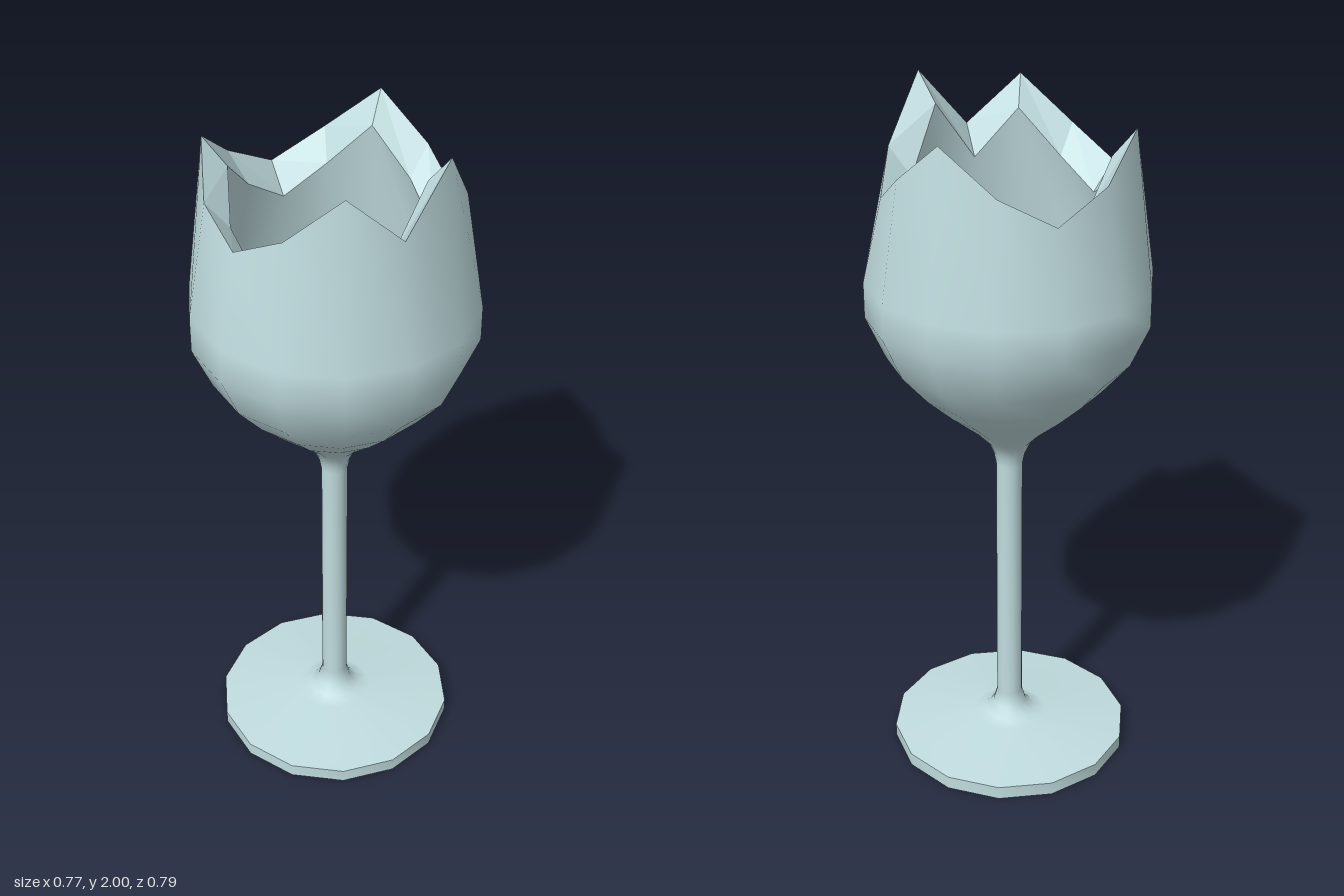
import * as THREE from 'three';
import { mergeVertices } from 'three/addons/utils/BufferGeometryUtils.js';

const SIDES = 14;
// Height of the broken edge at each corner, starting at the front and turning towards +x
const RIM = [1.83, 2.0, 1.83, 1.735, 1.83, 1.95, 1.83, 1.75, 1.83, 1.94, 1.83, 1.765, 1.84, 1.965];
const RIM_DROP = 0.08; // the inner edge sits lower than the outer one

// Turned surface; jagged maps a profile row to its drop below the broken edge
function turned(points, { jagged = {}, flat = false } = {}) {
  let geo = new THREE.LatheGeometry(points.map(([r, y]) => new THREE.Vector2(r, y)), SIDES);
  const pos = geo.attributes.position;
  for (const [row, drop] of Object.entries(jagged)) {
    for (let i = 0; i <= SIDES; i++) {
      pos.setY(i * points.length + Number(row), RIM[i % SIDES] - drop);
    }
  }
  geo.deleteAttribute('uv');
  geo.deleteAttribute('normal');
  geo = flat ? geo.toNonIndexed() : mergeVertices(geo, 1e-5);
  geo.computeVertexNormals();
  return geo;
}

export function createModel() {
  const group = new THREE.Group();
  const glass = new THREE.MeshStandardMaterial({ color: 0xc0dcdf });
  glass.name = 'paleGlass';
  const add = (name, geo) => {
    const mesh = new THREE.Mesh(geo, glass);
    mesh.name = name;
    group.add(mesh);
  };

  // Foot: flat underside and upright edge
  add('footUnderside', turned([[0, 0], [0.353, 0]], { flat: true }));
  add('footEdge', turned([[0.353, 0], [0.353, 0.04]]));

  // Foot top, stem and outer bowl run as one smooth surface
  const outer = [
    [0.353, 0.04], [0.11, 0.066], [0.075, 0.078], [0.05, 0.102], [0.038, 0.145],
    [0.038, 0.93], [0.045, 0.965], [0.062, 1.003], [0.108, 1.05], [0.185, 1.115],
    [0.265, 1.19], [0.342, 1.28], [0.395, 1.4], [0.395, 1.5], [0.34, 1.83],
  ];
  add('stemAndBowl', turned(outer, { jagged: { [outer.length - 1]: 0 } }));

  // Broken edge: flat facets across the wall
  add('brokenRim', turned([[0.34, 1.83], [0.275, 1.75]], { jagged: { 0: 0, 1: RIM_DROP }, flat: true }));

  // Inside of the bowl
  const inner = [
    [0.275, 1.75], [0.328, 1.49], [0.328, 1.41], [0.285, 1.315],
    [0.215, 1.235], [0.13, 1.165], [0.06, 1.12], [0, 1.105],
  ];
  add('bowlInside', turned(inner, { jagged: { 0: RIM_DROP } }));

  return group;
}
